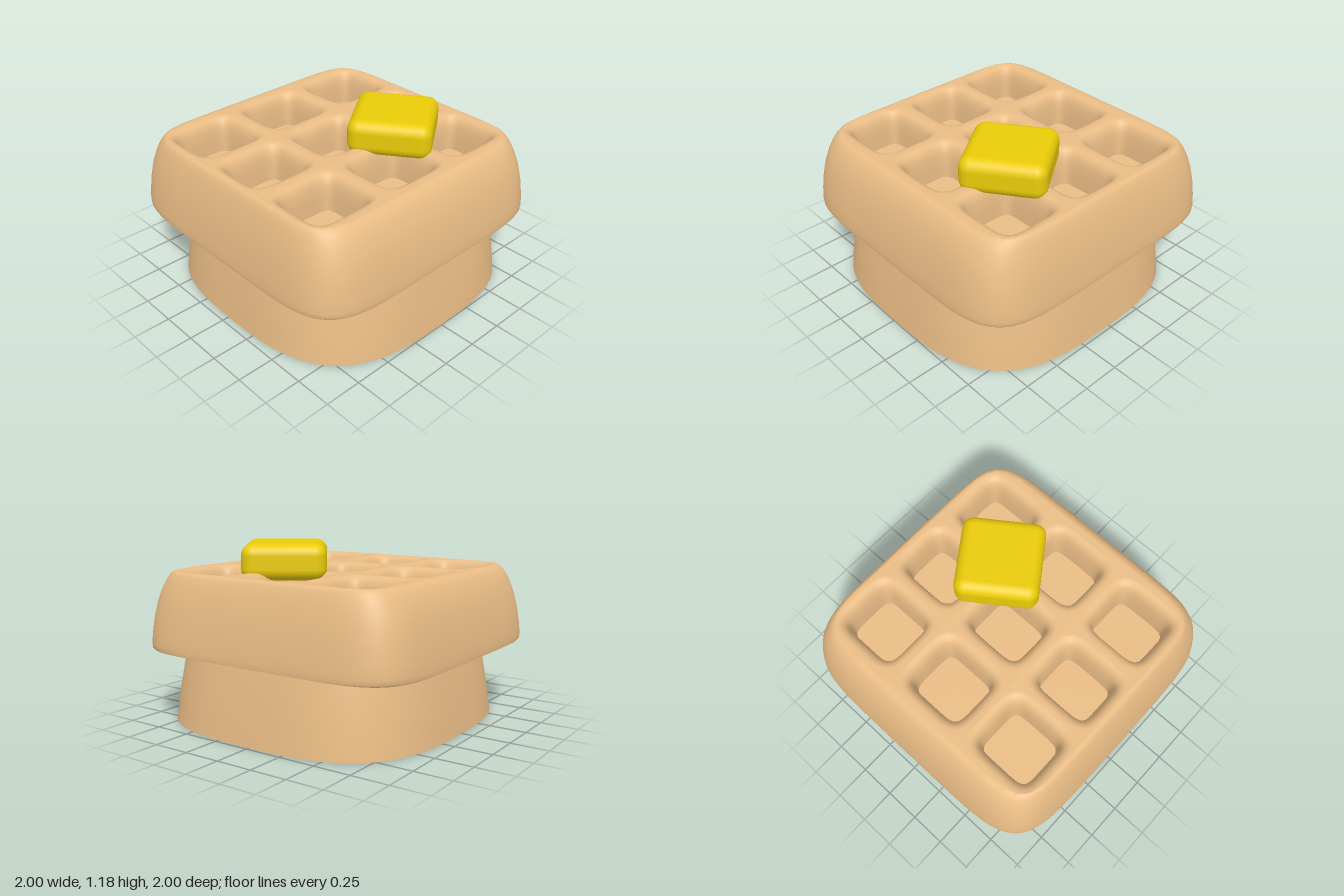
import * as THREE from 'three';
import { mergeGeometries, mergeVertices } from 'three/addons/utils/BufferGeometryUtils.js';
import { RoundedBoxGeometry } from 'three/addons/geometries/RoundedBoxGeometry.js';

const SEG = 96;
const tan = new THREE.MeshStandardMaterial({ color: 0xe9bc85 });
const yellow = new THREE.MeshStandardMaterial({ color: 0xeacb08 });

// Soft-cornered square ring at height y; a larger n gives tighter corners
function ring(y, a, b, n, cx = 0, cz = 0) {
  const soft = (v) => Math.sign(v) * Math.pow(Math.abs(v), 2 / n);
  return Array.from({ length: SEG }, (_, i) => {
    const t = (i / SEG) * Math.PI * 2;
    return new THREE.Vector3(cx + a * soft(Math.cos(t)), y, cz + b * soft(Math.sin(t)));
  });
}

// Skin between rings: faces outward going up, inward going down
function loft(rings) {
  const pos = rings.flat().flatMap((p) => [p.x, p.y, p.z]);
  const index = [];
  for (let i = 0; i < rings.length - 1; i++) {
    for (let j = 0; j < SEG; j++) {
      const a = i * SEG + j, b = i * SEG + (j + 1) % SEG;
      index.push(a, a + SEG, b, b, a + SEG, b + SEG);
    }
  }
  const g = new THREE.BufferGeometry();
  g.setAttribute('position', new THREE.Float32BufferAttribute(pos, 3));
  g.setIndex(index);
  g.computeVertexNormals();
  return g;
}

function add(parent, name, geometry, material = tan) {
  const mesh = new THREE.Mesh(geometry, material);
  mesh.name = name;
  parent.add(mesh);
  return mesh;
}

function createWaffle() {
  const waffle = new THREE.Group();
  waffle.name = 'waffle';

  // Side profile: height, half width, half depth, corner exponent
  const profile = [
    [0.49, 0.997, 0.997, 5.9], [0.5, 0.998, 0.998, 6.2], [0.53, 0.998, 0.998, 6.3],
    [0.6, 0.989, 0.989, 6.5], [0.7, 0.971, 0.973, 6.8], [0.8, 0.946, 0.952, 7.1],
    [0.88, 0.916, 0.929, 7.4], [0.94, 0.884, 0.908, 7.7], [0.975, 0.858, 0.892, 8],
    [0.993, 0.836, 0.879, 8.4], [1.0, 0.815, 0.865, 9],
  ];
  const sideRings = profile.map((p) => ring(...p));
  const pieces = [loft(sideRings)];
  const toShape = (pts) => pts.map((p) => new THREE.Vector2(p.x, -p.z));
  const top = new THREE.Shape(toShape(sideRings.at(-1)));

  // Nine pockets with rounded lips: spread, height, corner exponent
  const lip = [[0.085, 1, 4.2], [0.066, 0.996, 4.4], [0.047, 0.984, 4.7], [0.031, 0.962, 5],
    [0.018, 0.925, 5.4], [0.007, 0.86, 5.8], [0, 0.76, 6.2]];
  const columns = [[-0.525, 0.17], [-0.005, 0.155], [0.52, 0.168]];
  const rows = [[-0.573, 0.186], [0.004, 0.191], [0.578, 0.187]];
  const floors = [];
  for (const [cx, a] of columns) {
    for (const [cz, b] of rows) {
      const rings = lip.map(([s, y, n]) => ring(y, a + s, b + s, n, cx, cz));
      pieces.push(loft(rings));
      top.holes.push(new THREE.Path(toShape(rings[0])));
      floors.push(loft([rings.at(-1), ring(0.76, 0, 0, 2, cx, cz)]));
    }
  }

  // Top face joined to the sides and lips so shading runs across smoothly
  const face = new THREE.ShapeGeometry(top);
  face.rotateX(-Math.PI / 2).translate(0, 1, 0);
  pieces.push(face);
  for (const g of pieces) {
    g.deleteAttribute('normal');
    g.deleteAttribute('uv');
  }
  const skin = mergeVertices(mergeGeometries(pieces), 1e-4);
  skin.computeVertexNormals();
  add(waffle, 'waffleBody', skin);
  add(waffle, 'pocketFloors', mergeGeometries(floors));
  add(waffle, 'waffleUnderside', loft([ring(0.49, 0.8, 0.8, 3.2), sideRings[0]]));
  return waffle;
}

function createSkirt() {
  const skirt = new THREE.Group();
  skirt.name = 'skirt';
  skirt.position.set(0.038, 0, -0.013);
  const n = 3.05;
  const outer = [[0, 0.96, 0.965], [0.12, 0.946, 0.95], [0.25, 0.927, 0.932],
    [0.38, 0.905, 0.91], [0.5, 0.883, 0.888]].map(([y, a, b]) => ring(y, a, b, n));
  const inner = [[0.6, 0.735, 0.74], [0.3, 0.775, 0.78], [0, 0.81, 0.815]]
    .map(([y, a, b]) => ring(y, a, b, n));
  add(skirt, 'outerWall', loft(outer));
  add(skirt, 'innerWall', loft(inner));
  add(skirt, 'bottomRim', loft([inner[2], outer[0]]));
  add(skirt, 'innerRoof', loft([ring(0.6, 0, 0, 2), inner[0]]));

  // Round stem with a cross-shaped socket
  const round = new THREE.Shape().absarc(0, 0, 0.287, 0, Math.PI * 2);
  const l = 0.215, w = 0.06;
  const cross = [[l, -w], [l, w], [w, w], [w, l], [-w, l], [-w, w],
    [-l, w], [-l, -w], [-w, -w], [-w, -l], [w, -l], [w, -w]];
  round.holes.push(new THREE.Path(cross.map(([x, y]) => new THREE.Vector2(x, y))));
  const stem = new THREE.ExtrudeGeometry(round, { depth: 0.6, bevelEnabled: false, curveSegments: 48 });
  add(skirt, 'stem', stem.rotateX(-Math.PI / 2));
  return skirt;
}

export function createModel() {
  const model = new THREE.Group();
  model.name = 'waffleKeycap';
  model.add(createWaffle(), createSkirt());

  // Butter pat lying askew on the waffle
  const butter = add(model, 'butter', new RoundedBoxGeometry(0.545, 0.235, 0.545, 6, 0.075), yellow);
  butter.position.set(0.245, 1.0625, -0.296);
  butter.rotation.y = THREE.MathUtils.degToRad(35.5);
  return model;
}
